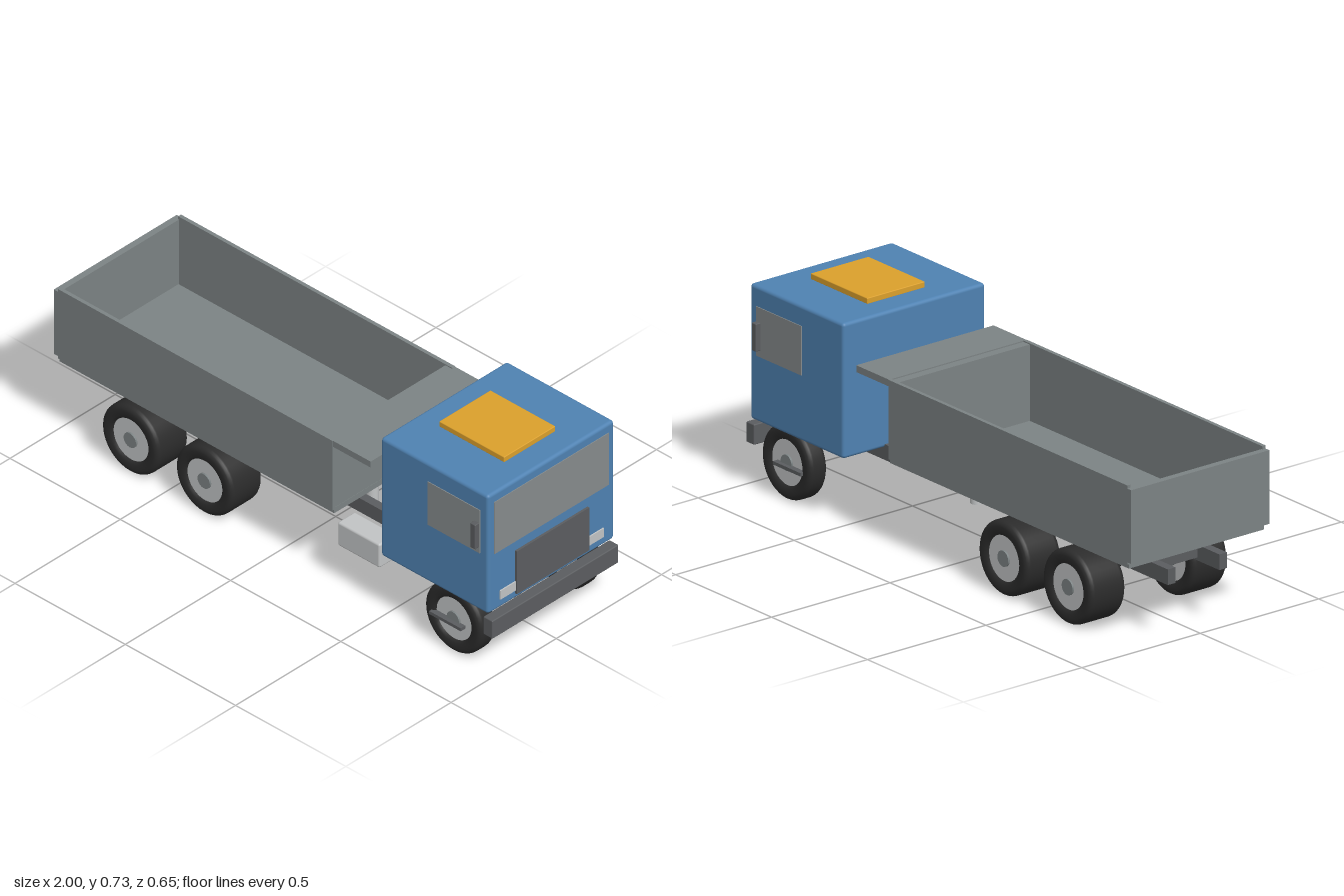
import * as THREE from 'three';
import { RoundedBoxGeometry } from 'three/addons/geometries/RoundedBoxGeometry.js';

const mat = (name, color) => {
  const m = new THREE.MeshStandardMaterial({ color });
  m.name = name;
  return m;
};

export function createModel() {
  const truck = new THREE.Group();
  truck.name = 'truck';
  const blue = mat('cab blue', 0x4f82b2);
  const grey = mat('bed grey', 0x7c8384);
  const glass = mat('window grey', 0x868b8c);
  const dark = mat('dark steel', 0x5b5d60);
  const light = mat('light metal', 0xc2c4c5);
  const rubber = mat('tyre rubber', 0x2b2b2b);
  const amber = mat('hatch amber', 0xdba02c);

  const add = (parent, name, geometry, material, x = 0, y = 0, z = 0) => {
    const mesh = new THREE.Mesh(geometry, material);
    mesh.name = name;
    mesh.position.set(x, y, z);
    parent.add(mesh);
    return mesh;
  };
  // Box given by its limits on each axis, with an optional rounded edge
  const box = (parent, name, material, [x0, x1], [y0, y1], [z0, z1], r = 0) => {
    const size = [x1 - x0, y1 - y0, z1 - z0];
    const g = r ? new RoundedBoxGeometry(...size, 3, r) : new THREE.BoxGeometry(...size);
    return add(parent, name, g, material, (x0 + x1) / 2, (y0 + y1) / 2, (z0 + z1) / 2);
  };
  const group = (name) => {
    const g = new THREE.Group();
    g.name = name;
    truck.add(g);
    return g;
  };
  // Limits along z, mirrored to the given side
  const span = (side, a, b) => (side > 0 ? [a, b] : [-b, -a]);

  // Chassis: two rails with cross members, bumper, tank and lift cylinder
  const chassis = group('chassis');
  for (const s of [1, -1]) box(chassis, 'rail', dark, [-0.985, 0.93], [0.195, 0.25], span(s, 0.093, 0.125));
  for (const x of [-0.85, -0.45, 0, 0.38, 0.82])
    box(chassis, 'crossMember', dark, [x - 0.02, x + 0.02], [0.205, 0.24], [-0.095, 0.095]);
  box(chassis, 'bumper', dark, [0.955, 0.997], [0.15, 0.222], [-0.3, 0.3], 0.004);
  box(chassis, 'tank', light, [0.267, 0.458], [0.155, 0.25], [0.19, 0.272], 0.008);
  add(chassis, 'liftCylinder', new THREE.CylinderGeometry(0.022, 0.022, 0.202, 24), light, 0.165, 0.213, 0);

  // Open cargo bed with headboard shelf
  const bed = group('cargoBed');
  box(bed, 'floor', grey, [-0.98, 0.265], [0.29, 0.312], [-0.285, 0.285]);
  for (const s of [1, -1]) box(bed, 'sideWall', grey, [-0.98, 0.265], [0.305, 0.584], span(s, 0.278, 0.292));
  box(bed, 'frontWall', grey, [0.232, 0.264], [0.312, 0.58], [-0.278, 0.278]);
  box(bed, 'tailgate', grey, [-1, -0.976], [0.314, 0.573], [-0.292, 0.292]);
  box(bed, 'shelf', grey, [0.264, 0.435], [0.56, 0.584], [-0.29, 0.29]);

  // Cab
  const cab = group('cab');
  box(cab, 'cabBody', blue, [0.49, 0.977], [0.238, 0.714], [-0.3, 0.3], 0.012);
  box(cab, 'windscreen', glass, [0.973, 0.98], [0.47, 0.678], [-0.272, 0.272]);
  box(cab, 'grille', dark, [0.97, 0.986], [0.26, 0.432], [-0.172, 0.172]);
  box(cab, 'roofHatch', amber, [0.585, 0.88], [0.712, 0.734], [-0.122, 0.122], 0.003);
  for (const s of [1, -1]) {
    box(cab, 'headlight', light, [0.973, 0.982], [0.274, 0.309], span(s, 0.165, 0.246));
    box(cab, 'sideWindow', glass, [0.706, 0.942], [0.47, 0.643], span(s, 0.295, 0.303));
    box(cab, 'mirror', dark, [0.918, 0.94], [0.494, 0.592], span(s, 0.301, 0.323), 0.003);
  }

  // Wheels: a rounded tyre ring, a rim and a hub
  const tyreGeometry = (w) => {
    const h = w / 2, c = 0.02, pts = [[0.08, -h + 0.008], [0.09, -h]];
    for (const s of [-1, 1])
      for (let i = 0; i <= 5; i++) {
        const a = (s < 0 ? -1 : 0) * Math.PI / 2 + (i / 5) * Math.PI / 2;
        pts.push([0.13 - c + c * Math.cos(a), s * (h - c) + c * Math.sin(a)]);
      }
    pts.push([0.09, h], [0.08, h - 0.008], [0.08, -h + 0.008]);
    return new THREE.LatheGeometry(pts.map((p) => new THREE.Vector2(...p)), 40).rotateX(Math.PI / 2);
  };
  const disc = (r, w) => new THREE.CylinderGeometry(r, r, w, 32).rotateX(Math.PI / 2);
  for (const [x, w, label] of [[-0.66, 0.15, 'rear'], [-0.325, 0.15, 'middle'], [0.805, 0.077, 'front']])
    for (const s of [1, -1]) {
      const wheel = group(label + 'Wheel');
      wheel.position.set(x, 0.13, s * (0.29 - w / 2));
      add(wheel, 'tyre', tyreGeometry(w), rubber);
      add(wheel, 'rim', disc(0.081, w - 0.02), light);
      add(wheel, 'hub', disc(0.028, w - 0.006), grey);
    }
  // Step bars across the front wheels
  for (const s of [1, -1]) box(chassis, 'stepBar', dark, [0.712, 0.855], [0.113, 0.125], span(s, 0.28, 0.302));

  return truck;
}
